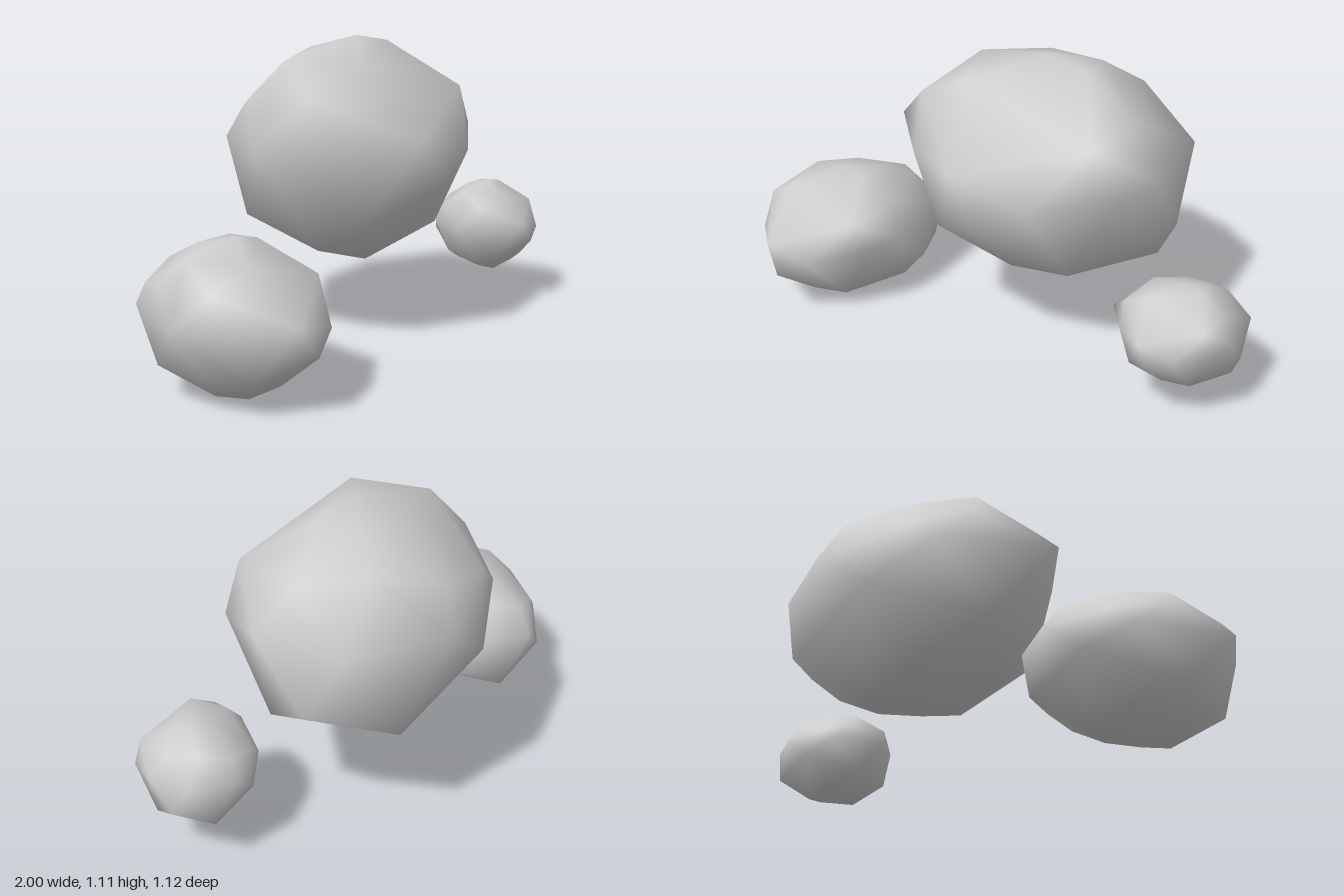
import * as THREE from 'three';
import { ConvexGeometry } from 'three/addons/geometries/ConvexGeometry.js';
import { mergeVertices } from 'three/addons/utils/BufferGeometryUtils.js';

// Corners of the boulder, from the top down
const CORNERS = [
  // crown
  [0.14, 1.105, -0.08], [0.305, 1.077, -0.08], [0.27, 1.069, -0.22], [0.04, 1.058, -0.225],
  [-0.05, 1.035, 0.15], [-0.19, 1.03, -0.11],
  // shoulder
  [0.35, 0.965, -0.37], [-0.28, 0.92, 0.12], [0.49, 0.907, 0.13], [0.49, 0.91, -0.15],
  [0.12, 0.9, -0.48], [-0.28, 0.9, -0.2], [-0.16, 0.83, -0.39],
  // waist
  [0.615, 0.745, -0.08], [0.592, 0.755, 0.09], [0.34, 0.7, 0.305], [0.04, 0.765, 0.35],
  [-0.26, 0.72, 0.2], [-0.465, 0.755, 0.03], [-0.26, 0.74, -0.36], [0.165, 0.755, -0.56],
  [0.54, 0.76, -0.43], [0.15, 0.605, 0.37], [-0.05, 0.6, -0.505],
  // underside
  [0.58, 0.5, -0.275], [-0.325, 0.485, -0.17], [-0.14, 0.455, 0.21], [0.595, 0.455, -0.13],
  [0.36, 0.445, -0.51], [0.38, 0.39, 0.11], [0.15, 0.38, 0.16], [-0.06, 0.37, -0.28],
  [-0.16, 0.355, 0.03], [0.38, 0.345, -0.1],
  // base
  [0.07, 0.285, 0.04], [0.2, 0.285, -0.305],
];

// Smooth-shaded hull around the boulder corners
function boulderGeometry() {
  const hull = new ConvexGeometry(CORNERS.map((c) => new THREE.Vector3(...c)));
  hull.deleteAttribute('normal');
  const geo = mergeVertices(hull, 1e-3);
  geo.computeVertexNormals();
  geo.computeBoundingBox();
  return geo;
}

// Copy of the boulder sized to fill a box
function boulder(base, name, min, max, material) {
  const geo = base.clone();
  const from = base.boundingBox;
  const size = from.getSize(new THREE.Vector3());
  const scale = new THREE.Vector3(...max).sub(new THREE.Vector3(...min)).divide(size);
  geo.translate(-from.min.x, -from.min.y, -from.min.z);
  geo.scale(scale.x, scale.y, scale.z);
  geo.translate(...min);
  const mesh = new THREE.Mesh(geo, material);
  mesh.name = name;
  return mesh;
}

export function createModel() {
  const group = new THREE.Group();
  group.name = 'rockCluster';
  const stone = new THREE.MeshStandardMaterial({ color: 0xcccccc });
  const base = boulderGeometry();
  group.add(
    boulder(base, 'largeRock', [-0.465, 0.28, -0.56], [0.615, 1.105, 0.37], stone),
    boulder(base, 'mediumRock', [-1, 0, -0.245], [-0.39, 0.515, 0.56], stone),
    boulder(base, 'smallRock', [0.56, 0.115, -0.215], [1, 0.48, 0.25], stone),
  );
  return group;
}
